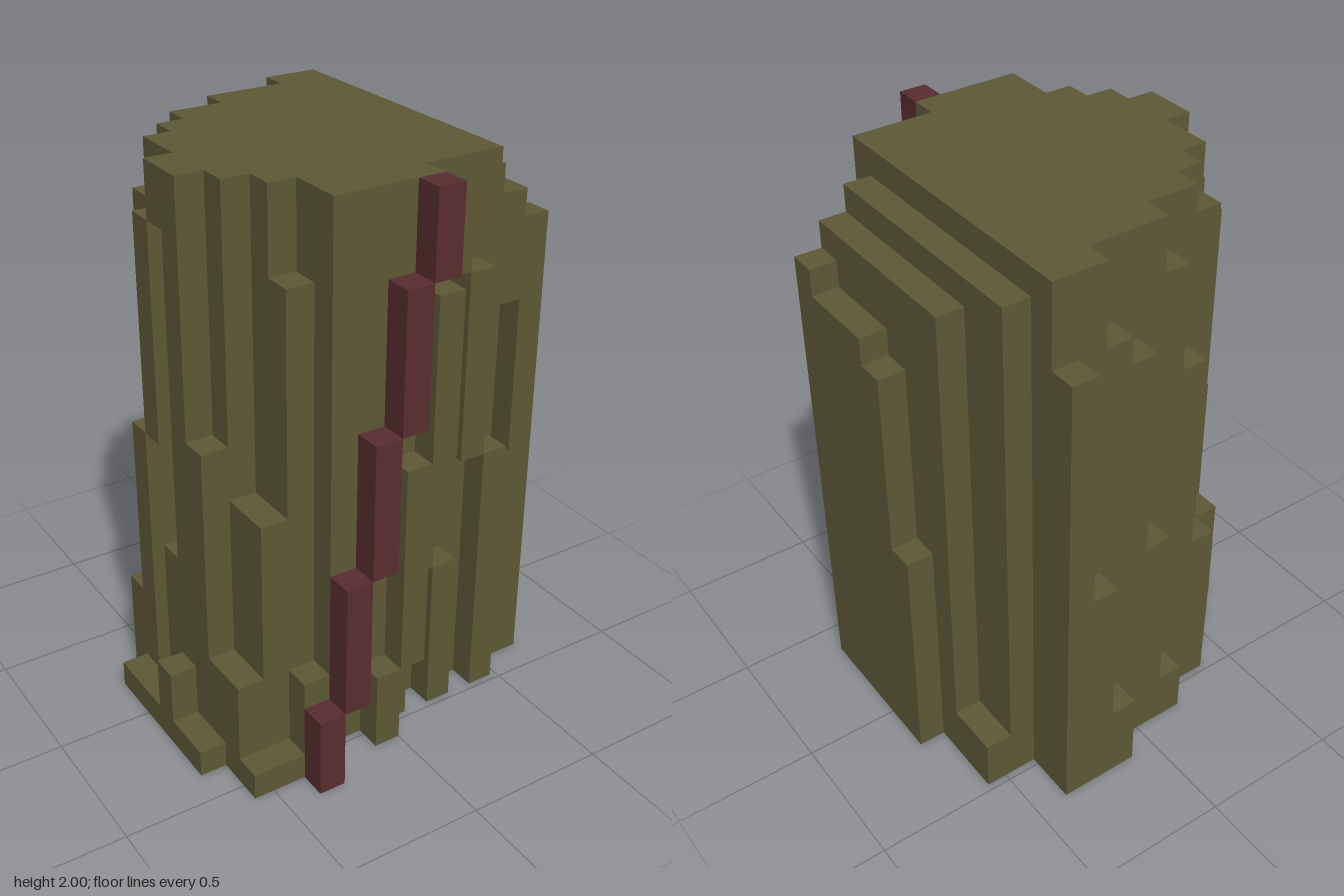
import * as THREE from 'three';

const U = 2 / 21; // one block of the grid: 14 x 21 x 14 blocks

export function createModel() {
  const olive = new THREE.MeshStandardMaterial({ color: 0x5d5936 });
  olive.name = 'olive';
  const darkRed = new THREE.MeshStandardMaterial({ color: 0x582d2f });
  darkRed.name = 'darkRed';

  const model = new THREE.Group();
  model.name = 'blockTrunk';

  // each block: x from-to, z from-to, y from-to, in grid units
  function addPart(name, material, blocks) {
    const part = new THREE.Group();
    part.name = name;
    for (const [x0, x1, z0, z1, y0, y1] of blocks) {
      const mesh = new THREE.Mesh(
        new THREE.BoxGeometry((x1 - x0) * U, (y1 - y0) * U, (z1 - z0) * U), material);
      mesh.position.set(((x0 + x1) / 2 - 7) * U, ((y0 + y1) / 2) * U, ((z0 + z1) / 2 - 7) * U);
      mesh.name = name + 'Block';
      part.add(mesh);
    }
    model.add(part);
  }
  // upright columns one block wide, standing on the ground: x, z, height
  const columns = (list) => list.map(([x, z, h]) => [x, x + 1, z, z + 1, 0, h]);

  // full-height body, with a socket left open in the base
  addPart('core', olive, [
    [9, 11, 1, 2, 0, 21],
    [6, 11, 2, 3, 0, 21],
    [4, 11, 3, 4, 0, 21],
    [3, 11, 4, 5, 0, 21],
    [2, 11, 5, 10, 3, 21],
    [2, 7, 5, 10, 0, 3],
    [9, 11, 5, 10, 0, 3],
    [7, 9, 5, 6, 0, 3],
    [3, 11, 10, 11, 0, 21],
    [4, 8, 11, 12, 0, 21],
  ]);

  // staggered ridges of the front
  addPart('frontRidges', olive, [
    [8, 9, 11, 12, 6, 21],
    [9, 10, 11, 12, 0, 6],
    [9, 10, 11, 12, 17, 21],
    [10, 11, 11, 12, 10, 17],
    [10, 11, 11, 12, 19, 21],
    [11, 12, 11, 12, 0, 10],
    [6, 7, 12, 13, 0, 3],
    [7, 8, 12, 13, 3, 11],
    [8, 9, 12, 13, 11, 17],
    [3, 4, 12, 13, 1, 4],
  ]);

  // leaning red strip, with the olive panel behind it
  const strip = [], panel = [];
  [0, 3, 8, 13, 18, 21].forEach((y, k, steps) => {
    if (k === 5) return;
    strip.push([3 + k, 4 + k, 13, 14, y, steps[k + 1]]);
    if (k > 0) panel.push([4, 4 + k, 12, 13, y, steps[k + 1]]);
  });
  addPart('redStrip', darkRed, strip);
  addPart('frontPanel', olive, panel);

  // stepped slabs of the left side
  addPart('leftSide', olive, [
    [11, 12, 2, 11, 0, 20],
    [12, 13, 2, 4, 0, 2],
    [12, 13, 4, 10, 0, 19],
    [12, 13, 10, 11, 0, 9],
    [12, 13, 10, 11, 15, 19],
    [13, 14, 7, 10, 0, 17],
    ...columns([[13, 5, 9], [13, 6, 16], [13, 10, 18]]),
  ]);

  // ridges of the right side
  addPart('rightSide', olive, [
    [1, 2, 5, 6, 0, 11],
    [1, 2, 6, 7, 11, 19],
    [1, 2, 7, 8, 0, 7],
    [1, 2, 7, 8, 19, 21],
    [1, 2, 8, 9, 0, 21],
    [1, 2, 9, 10, 0, 12],
    [1, 2, 10, 12, 0, 4],
    [2, 3, 10, 12, 0, 10],
    [3, 4, 11, 12, 0, 18],
  ]);

  // low foot around the right side
  addPart('foot', olive, [
    [0, 1, 5, 8, 0, 1],
    [0, 1, 8, 9, 0, 3],
    [0, 1, 9, 11, 0, 1],
    [1, 2, 6, 7, 0, 1],
    [1, 4, 12, 13, 0, 1],
  ]);

  // descending columns of the back
  addPart('backColumns', olive, columns([
    [10, 0, 18], [9, 0, 9], [8, 0, 3],
    [8, 1, 18], [7, 1, 17], [6, 1, 9], [5, 1, 2],
    [5, 2, 19], [4, 2, 15], [3, 2, 7],
    [3, 3, 20], [2, 3, 7],
    [2, 4, 19], [1, 4, 4],
  ]));

  return model;
}
